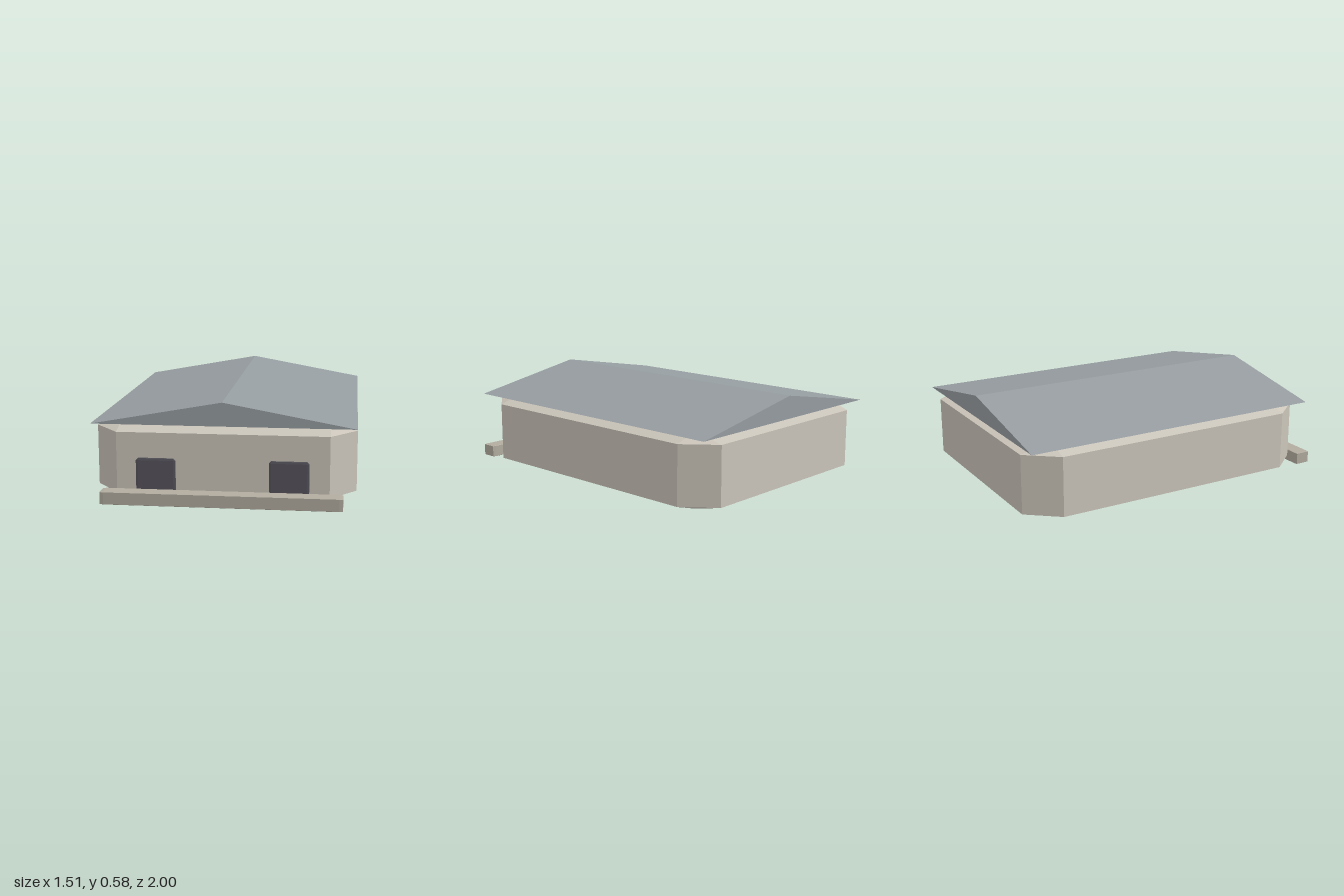
import * as THREE from 'three';
import { ConvexGeometry } from 'three/addons/geometries/ConvexGeometry.js';

const material = (color) => new THREE.MeshStandardMaterial({ color, flatShading: true });

// Box between two corners with every edge cut by a single bevel (b = inset per axis).
function beveledBox(name, min, max, b, mat) {
  const c = min.map((v, i) => (v + max[i]) / 2);
  const h = min.map((v, i) => (max[i] - v) / 2);
  const points = [];
  for (const sx of [-1, 1]) for (const sy of [-1, 1]) for (const sz of [-1, 1]) {
    const s = [sx, sy, sz];
    for (let full = 0; full < 3; full++) {
      points.push(new THREE.Vector3(...s.map((k, i) => k * (h[i] - (i === full ? 0 : b[i])))));
    }
  }
  const mesh = new THREE.Mesh(new ConvexGeometry(points), mat);
  mesh.position.set(...c);
  mesh.name = name;
  return mesh;
}

export function createModel() {
  const group = new THREE.Group();
  group.name = 'building';
  const wall = material(0xcbc5ba);
  const ledge = material(0xb2ac9f);
  const slate = material(0x969da1);
  const dark = material(0x56545c);

  // Main body with broad chamfers
  group.add(beveledBox('body', [-0.755, 0.004, -1], [0.755, 0.445, 0.89], [0.15, 0.044, 0.185], wall));

  // Gable roof
  const gable = new THREE.Shape();
  gable.moveTo(-0.753, 0.445);
  gable.lineTo(0.753, 0.445);
  gable.lineTo(0, 0.581);
  gable.closePath();
  const roofGeometry = new THREE.ExtrudeGeometry(gable, { depth: 1.89, bevelEnabled: false });
  roofGeometry.translate(0, 0, -1);
  const roof = new THREE.Mesh(roofGeometry, slate);
  roof.name = 'roof';
  group.add(roof);

  // Two dark doorways on the front
  for (const side of [-1, 1]) {
    const x = side * 0.378;
    group.add(beveledBox(side > 0 ? 'leftDoor' : 'rightDoor',
      [x - 0.113, 0.002, 0.885], [x + 0.113, 0.255, 0.905], [0.012, 0.012, 0.002], dark));
  }

  // Step along the front
  group.add(beveledBox('frontStep', [-0.682, 0.004, 0.905], [0.682, 0.077, 1], [0.02, 0.002, 0.003], ledge));
  return group;
}
